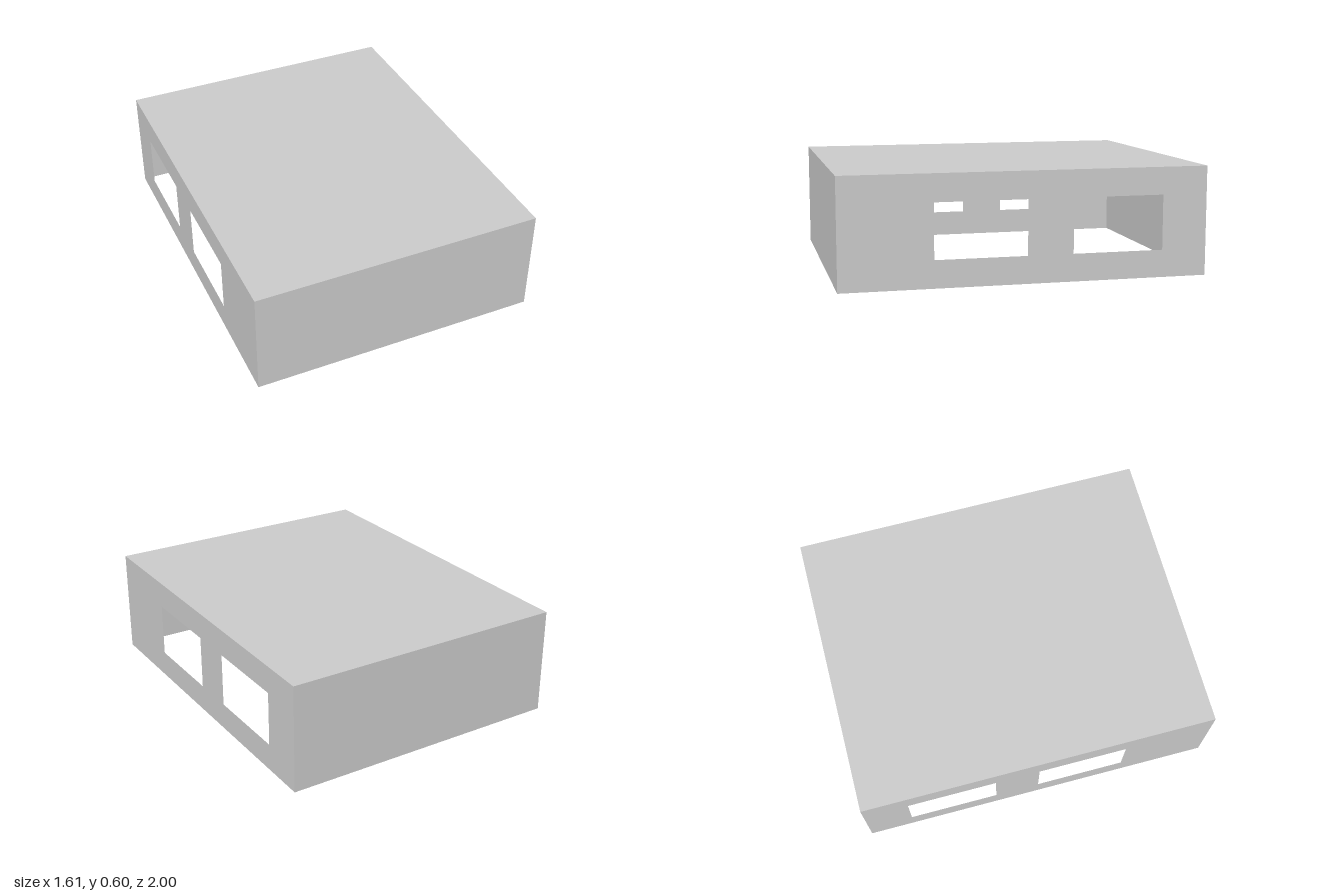
import * as THREE from 'three';

const W = 1.61, H = 0.6, L = 2;

export function createModel() {
  const model = new THREE.Group();
  const material = new THREE.MeshStandardMaterial({ color: 0xcccccc, side: THREE.DoubleSide });

  const add = (name, geometry) => {
    const mesh = new THREE.Mesh(geometry, material);
    mesh.name = name;
    model.add(mesh);
    return mesh;
  };

  // Flat roof; the underside is open
  const roof = add('roof', new THREE.PlaneGeometry(W, L));
  roof.rotation.x = -Math.PI / 2;
  roof.position.y = H;

  // Plain end walls
  for (const [name, side] of [['frontWall', 1], ['backWall', -1]]) {
    const wall = add(name, new THREE.PlaneGeometry(W, H));
    wall.position.set(0, H / 2, side * L / 2);
    if (side < 0) wall.rotation.y = Math.PI;
  }

  // Side walls, each with two window openings; shape x runs from front to back
  const rectangle = (PathType, x0, x1, y0, y1) => new PathType([
    new THREE.Vector2(x0, y0), new THREE.Vector2(x1, y0),
    new THREE.Vector2(x1, y1), new THREE.Vector2(x0, y1),
  ]);
  for (const [name, side] of [['leftWall', 1], ['rightWall', -1]]) {
    // Mirror the outline so each wall's front faces outward
    const outline = rectangle(THREE.Shape, -L / 2, L / 2, 0, H);
    for (const start of [-0.5, 0.25]) {
      const a = side * start, b = side * (start + 0.5);
      outline.holes.push(rectangle(THREE.Path, Math.min(a, b), Math.max(a, b), 0.15, 0.45));
    }
    const wall = add(name, new THREE.ShapeGeometry(outline));
    wall.rotation.y = side * Math.PI / 2;
    wall.position.x = side * W / 2;
  }

  return model;
}
